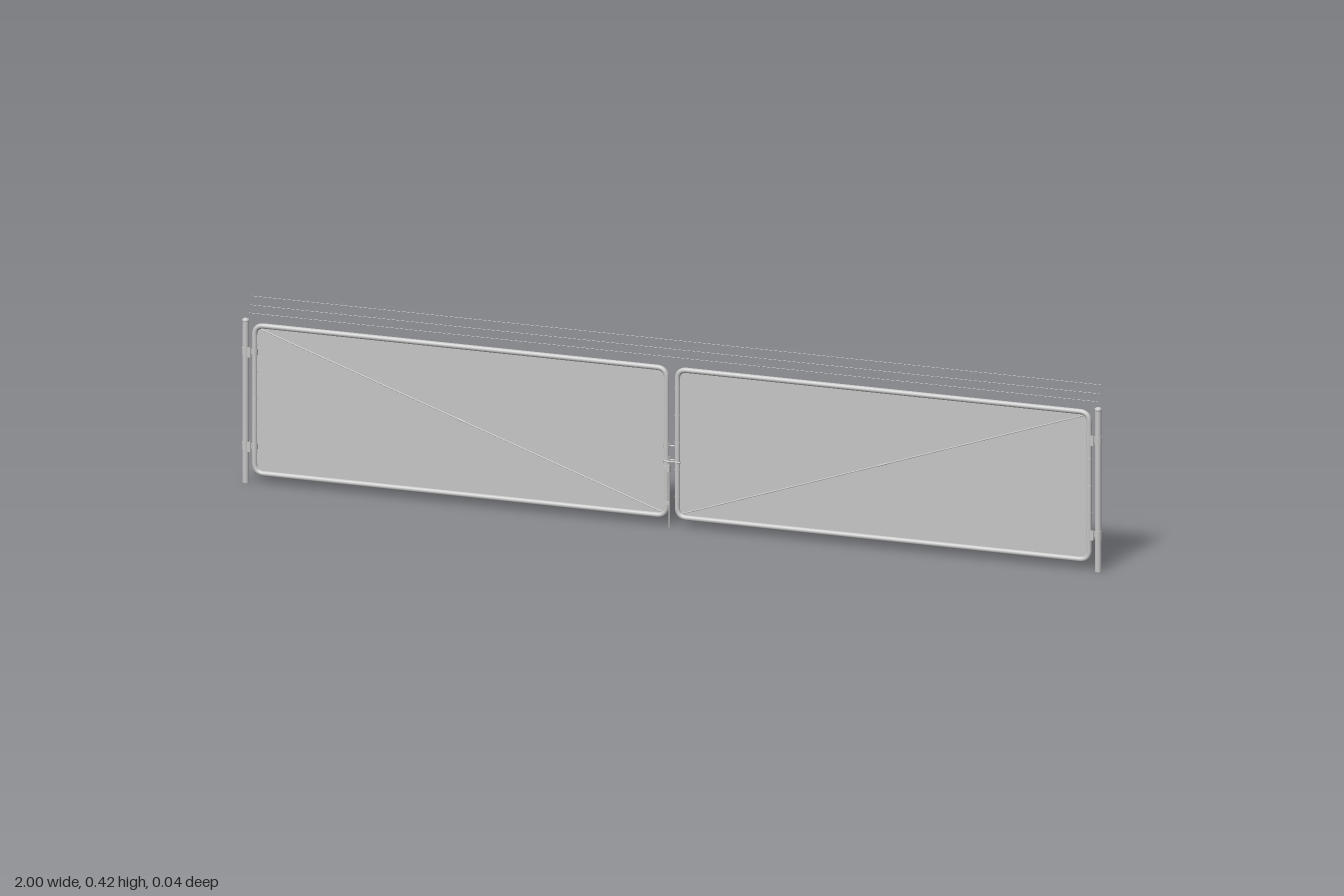
import * as THREE from 'three';
import { mergeGeometries } from 'three/addons/utils/BufferGeometryUtils.js';

const steel = new THREE.MeshStandardMaterial({ color: 0xc6c6c6, side: THREE.DoubleSide });
steel.name = 'galvanised steel';

const Z = 0.0098; // plane of the gate
const V = (x, y, z = Z) => new THREE.Vector3(x, y, z);

function add(parent, name, geometry) {
  const mesh = new THREE.Mesh(geometry, steel);
  mesh.name = name;
  parent.add(mesh);
}

// Round bar between two points
function bar(a, b, radius, sides = 8, open = false) {
  const dir = b.clone().sub(a);
  const g = new THREE.CylinderGeometry(radius, radius, dir.length(), sides, 1, open);
  g.applyQuaternion(new THREE.Quaternion().setFromUnitVectors(V(0, 1, 0), dir.normalize()));
  const m = a.clone().add(b).multiplyScalar(0.5);
  return g.translate(m.x, m.y, m.z);
}

// Upright collar around a pipe
const collar = (x, y, height, radius) => bar(V(x, y - height / 2), V(x, y + height / 2), radius, 28);

function box(w, h, d, x, y, z = Z) {
  return new THREE.BoxGeometry(w, h, d).translate(x, y, z);
}

// Bent pipe frame with rounded corners
function frameGeometry(x0, x1, y0, y1, r, pipe) {
  const corners = [[x0, y0], [x1, y0], [x1, y1], [x0, y1]].map(([x, y]) => V(x, y));
  const parts = [];
  const toward = (a, b) => a.clone().add(b.clone().sub(a).setLength(r));
  corners.forEach((c, i) => {
    const prev = corners[(i + 3) % 4], next = corners[(i + 1) % 4];
    const bend = new THREE.QuadraticBezierCurve3(toward(c, prev), c, toward(c, next));
    parts.push(new THREE.TubeGeometry(bend, 12, pipe, 28));
    parts.push(bar(toward(c, next), toward(next, c), pipe, 28, true));
  });
  return mergeGeometries(parts);
}

// Flat infill sheet with rounded corners
function sheetGeometry(x0, x1, y0, y1, r) {
  const s = new THREE.Shape();
  s.moveTo(x0 + r, y0);
  s.lineTo(x1 - r, y0).quadraticCurveTo(x1, y0, x1, y0 + r);
  s.lineTo(x1, y1 - r).quadraticCurveTo(x1, y1, x1 - r, y1);
  s.lineTo(x0 + r, y1).quadraticCurveTo(x0, y1, x0, y1 - r);
  s.lineTo(x0, y0 + r).quadraticCurveTo(x0, y0, x0 + r, y0);
  return new THREE.ShapeGeometry(s, 8).translate(0, 0, Z);
}

// Side is 1 for the left half and -1 for the right half
function buildHalf(side) {
  const half = new THREE.Group();
  half.name = side > 0 ? 'leftGate' : 'rightGate';

  // Hinge post with a low domed cap
  const px = side * 0.992;
  add(half, 'post', bar(V(px, 0), V(px, 0.366), 0.0072, 32));
  const cap = [[0.0072, 0.364], [0.008, 0.3655], [0.008, 0.3675], [0.0066, 0.3697], [0.0038, 0.3713], [0, 0.372]];
  add(half, 'postCap', new THREE.LatheGeometry(cap.map(p => new THREE.Vector2(...p)), 32).translate(px, 0, Z));

  // Leaf frame and mesh sheet
  const [x0, x1] = side > 0 ? [0.0128, 0.971] : [-0.971, -0.0128];
  add(half, 'leafFrame', frameGeometry(x0, x1, 0.0235, 0.3575, 0.022, 0.0058));
  add(half, 'meshSheet', sheetGeometry(x0, x1, 0.0235, 0.3575, 0.022));

  // Small bands holding the mesh to both uprights
  for (const x of [x0, x1]) {
    for (let i = 0; i < 5; i++) add(half, 'meshBand', collar(x, 0.07 + i * 0.061, 0.003, 0.0063));
  }

  // Diagonal truss rod with turnbuckle
  const low = V(side * 0.018, 0.03), high = V(side * 0.965, 0.352);
  add(half, 'trussRod', bar(low, high, 0.0014, 12));
  add(half, 'turnbuckle', bar(low.clone().lerp(high, 0.49), low.clone().lerp(high, 0.51), 0.0022, 12));

  // Hinges: collars on post and frame joined by a strap and a bolt
  for (const y of [0.083, 0.297]) {
    const hinge = new THREE.Group();
    hinge.name = 'hinge';
    half.add(hinge);
    add(hinge, 'postCollar', collar(px, y, 0.018, 0.0083));
    add(hinge, 'frameCollar', collar(side * 0.971, y, 0.014, 0.007));
    add(hinge, 'strap', box(0.02, 0.01, 0.006, side * 0.981, y));
    add(hinge, 'hingeBolt', bar(V(side * 0.981, y, 0.001), V(side * 0.981, y, 0.0215), 0.0022, 12));
    add(hinge, 'hingePlate', box(0.008, 0.022, 0.003, side * 0.981, y, 0.0195));
  }
  return half;
}

// Latch between the two leaves
function buildLatch() {
  const latch = new THREE.Group();
  latch.name = 'latch';
  add(latch, 'dropRod', bar(V(-0.004, 0, 0.0165), V(-0.004, 0.16, 0.0165), 0.0015, 12));
  for (const y of [0.055, 0.135]) add(latch, 'rodGuide', box(0.014, 0.008, 0.004, -0.009, y, 0.0165));
  add(latch, 'dropRodHandle', box(0.006, 0.016, 0.004, -0.004, 0.134, 0.0193));
  for (const y of [0.147, 0.183]) add(latch, 'latchCollar', collar(-0.0128, y, 0.009, 0.0072));
  // Fork arms in front of and behind the opposite upright
  for (const z of [0.0025, 0.0172]) {
    add(latch, 'latchFork', bar(V(-0.016, 0.149, z), V(0.022, 0.149, z), 0.0018, 12));
  }
  add(latch, 'latchBar', bar(V(-0.0128, 0.183), V(0.0128, 0.183), 0.0018, 12));
  return latch;
}

// Three barbed strands leaning back above the gate
function buildBarbedWire() {
  const group = new THREE.Group();
  group.name = 'barbedWire';
  for (const [y, z] of [[0.381, 0.001], [0.3965, -0.0085], [0.4143, -0.0175]]) {
    add(group, 'strand', bar(V(-0.988, y, z), V(0.988, y, z), 0.0006, 8));
    const barbs = [];
    for (let i = 0; i < 24; i++) {
      const x = -0.935 + i * 0.0813;
      barbs.push(bar(V(x - 0.003, y + 0.0048, z + 0.0037), V(x + 0.003, y - 0.0048, z - 0.0037), 0.0005, 8));
    }
    add(group, 'barbs', mergeGeometries(barbs));
  }
  return group;
}

export function createModel() {
  const model = new THREE.Group();
  model.name = 'doubleGate';
  model.add(buildHalf(1), buildHalf(-1), buildLatch(), buildBarbedWire());
  return model;
}
